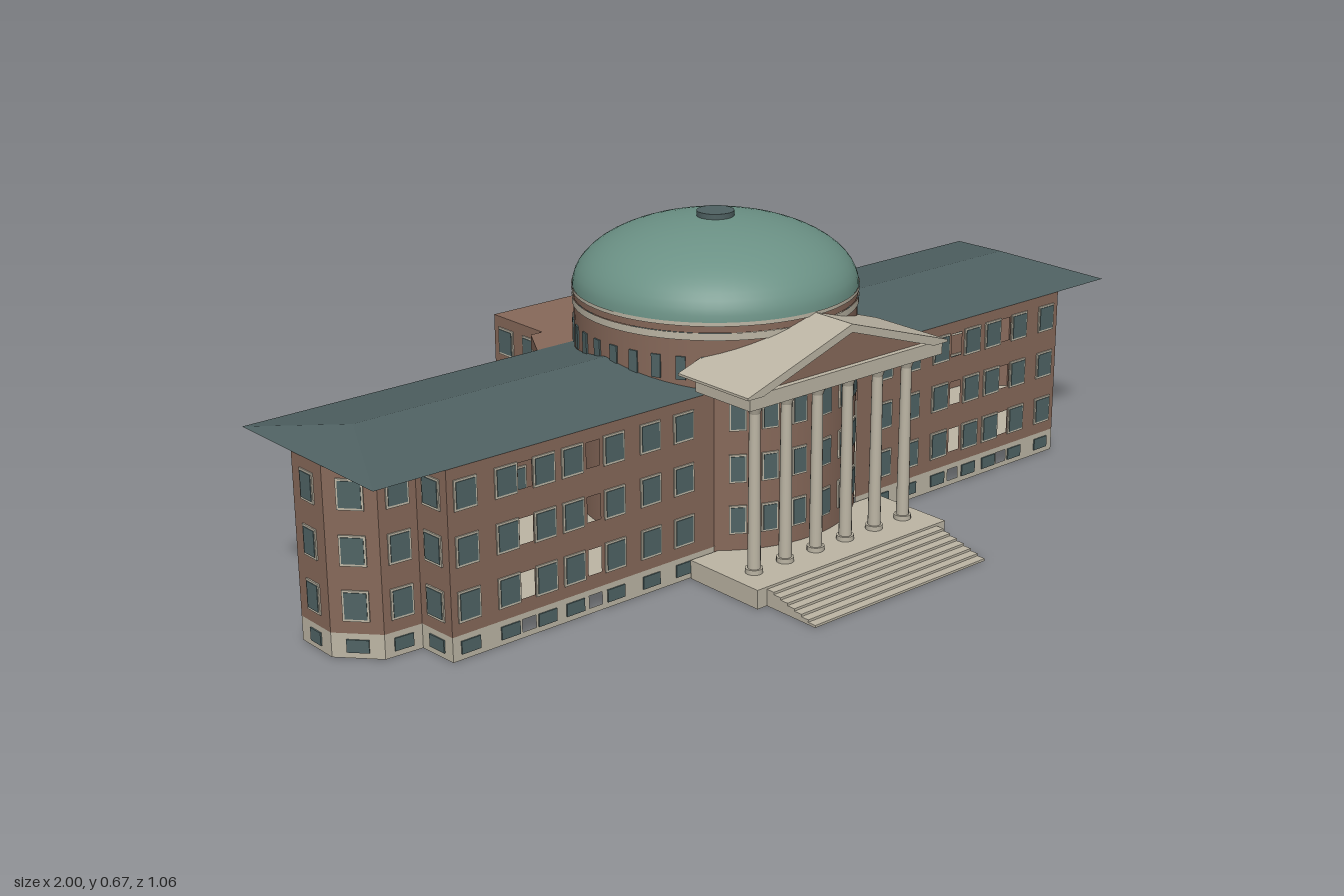
import * as THREE from 'three';
import { mergeGeometries } from 'three/addons/utils/BufferGeometryUtils.js';

const mat = (name, color, side = THREE.FrontSide) => {
  const m = new THREE.MeshStandardMaterial({ color, side });
  m.name = name;
  return m;
};

export function createModel() {
  const brick = mat('brick', 0x87695a, THREE.DoubleSide);
  const stone = mat('stone', 0xbdb6a5, THREE.DoubleSide);
  const copper = mat('copper', 0x6b9185, THREE.DoubleSide);
  const slate = mat('slate', 0x4f6162, THREE.DoubleSide);
  const glass = mat('glass', 0x506465);

  const model = new THREE.Group();
  const house = new THREE.Group();
  house.name = 'building';
  house.rotation.y = -0.025;
  house.position.set(0, 0, -0.035);
  model.add(house);

  const add = (name, geo, material, parent = house) => {
    const m = new THREE.Mesh(geo, material);
    m.name = name;
    parent.add(m);
    return m;
  };
  const box = (x0, x1, y0, y1, z0, z1) =>
    new THREE.BoxGeometry(x1 - x0, y1 - y0, z1 - z0).translate((x0 + x1) / 2, (y0 + y1) / 2, (z0 + z1) / 2);

  const BASE = 0.05, EAVE = 0.38;
  const ROWS = [[0.08, 0.133], [0.19, 0.242], [0.3, 0.352]];
  const BASE_ROW = [0.012, 0.038];

  // Rectangle panel pierced by rectangular openings
  const rect = (P, x0, x1, y0, y1) => {
    const p = new P();
    p.moveTo(x0, y0); p.lineTo(x1, y0); p.lineTo(x1, y1); p.lineTo(x0, y1); p.closePath();
    return p;
  };
  const panel = (len, y0, y1, holes, rows) => {
    const s = rect(THREE.Shape, -len / 2, len / 2, y0, y1);
    for (const h of holes) for (const [a, b] of rows) s.holes.push(rect(THREE.Path, h - 0.016, h + 0.016, a, b));
    return new THREE.ShapeGeometry(s);
  };

  // One straight wall from a to b (outside on the right-hand side), with framed windows
  function wall(name, a, b, cols, w = 0.043, holes = []) {
    const g = new THREE.Group();
    const dx = b[0] - a[0], dz = b[1] - a[1], len = Math.hypot(dx, dz);
    g.name = name;
    g.position.set((a[0] + b[0]) / 2, 0, (a[1] + b[1]) / 2);
    g.rotation.y = Math.atan2(-dz, dx);
    house.add(g);
    add('brickWall', panel(len, BASE, EAVE, holes, ROWS), brick, g);
    add('stoneBase', panel(len, 0, BASE, holes, [BASE_ROW]), stone, g);
    const frames = [], panes = [];
    for (const c of cols) {
      for (const [y0, y1] of ROWS) {
        frames.push(box(c - w / 2 - 0.004, c + w / 2 + 0.004, y0 - 0.005, y1 + 0.004, -0.003, 0.003));
        panes.push(box(c - w / 2, c + w / 2, y0, y1, -0.0045, 0.0045));
      }
      panes.push(box(c - w / 2, c + w / 2, ...BASE_ROW, -0.003, 0.003));
    }
    if (cols.length) {
      add('windowFrames', mergeGeometries(frames), stone, g);
      add('windowPanes', mergeGeometries(panes), glass, g);
    }
  }

  // Walls of the left half, mirrored to the right: [name, from, to, windows, width, openings]
  const longCols = [0.28, 0.365, 0.455, 0.555, 0.622, 0.709, 0.8];
  const gaps = [0.505, 0.665];
  const half = [
    ['frontWall', [0.2, 0.22], [0.84, 0.22], longCols.map(x => x - 0.52), 0.043, gaps.map(x => x - 0.52)],
    ['endShoulder', [0.84, 0.22], [0.845, 0.13], [0]],
    ['bayCheek', [0.845, 0.13], [0.925, 0.125], [0], 0.04],
    ['bayCorner', [0.925, 0.125], [0.993, 0.05], [0]],
    ['bayFront', [0.993, 0.05], [0.993, -0.05], [0], 0.035],
    ['bayCorner', [0.993, -0.05], [0.925, -0.125], [0]],
    ['bayCheek', [0.925, -0.125], [0.845, -0.13], [0], 0.04],
    ['endShoulder', [0.845, -0.13], [0.84, -0.22], [0]],
    ['rearWall', [0.84, -0.22], [0.3, -0.22], longCols.slice(1).map(x => 0.57 - x), 0.043, gaps.map(x => 0.57 - x)],
    ['rearDiagonal', [0.3, -0.22], [0.245, -0.315], [0]],
    ['rearReturn', [0.245, -0.315], [0.215, -0.315], []],
    ['rearWingSide', [0.215, -0.315], [0.215, -0.487], [-0.043, 0.043]],
  ];
  const flip = ([x, z]) => [-x, z];
  for (const [name, a, b, cols, w, holes = []] of half) {
    wall(name, a, b, cols, w, holes);
    wall(name, flip(b), flip(a), cols.map(c => -c), w, holes.map(h => -h));
  }
  wall('rearWingBack', [0.215, -0.487], [-0.215, -0.487], [-0.155, -0.052, 0.052, 0.155]);

  // Floor slab and the flat roof of the rear wing
  const slab = (pts, y) => {
    const outline = [...pts, ...pts.map(flip).reverse()].map(p => new THREE.Vector2(...p));
    return new THREE.ShapeGeometry(new THREE.Shape(outline)).rotateX(Math.PI / 2).translate(0, y, 0);
  };
  const path = [...half.map(h => h[1]), [0.215, -0.487]];
  add('floor', slab(path, BASE), stone);
  add('rearFlatRoof', slab([[0.3, -0.2], ...path.slice(9)], EAVE), brick);

  // Hipped main roof
  const E = 0.994, R = 0.89, D = 0.222, T = 0.42;
  const A = [-E, EAVE, D], B = [E, EAVE, D], C = [E, EAVE, -D], F = [-E, EAVE, -D];
  const L = [-R, T, 0], N = [R, T, 0];
  const roof = new THREE.BufferGeometry();
  roof.setAttribute('position', new THREE.Float32BufferAttribute(
    [A, B, N, A, N, L, C, F, L, C, L, N, B, C, N, F, A, L].flat(), 3));
  roof.computeVertexNormals();
  add('hippedRoof', roof, slate);

  // Rotunda drum with its bands
  const ring = (name, r, y0, y1, material) =>
    add(name, new THREE.CylinderGeometry(r, r, y1 - y0, 64, 1, true).translate(0, (y0 + y1) / 2, 0), material);
  ring('drum', 0.295, 0, 0.485, brick);
  ring('lowerBand', 0.298, 0.485, 0.5, stone);
  ring('drumFrieze', 0.296, 0.5, 0.514, brick);
  ring('upperBand', 0.299, 0.514, 0.522, stone);

  // Drum windows: a full ring on top, three storeys behind the portico
  const around = (angle, w, y0, y1, d) => box(-w / 2, w / 2, y0, y1, 0.295 - d, 0.295 + d).rotateY(angle);
  const drumPanes = [], drumFrames = [];
  for (let i = 0; i < 36; i++) drumPanes.push(around((i + 0.5) * Math.PI / 18, 0.02, 0.402, 0.45, 0.003));
  for (const deg of [-33, -20, -7, 7, 20, 33]) {
    for (const [y0, y1] of ROWS) {
      const a = THREE.MathUtils.degToRad(deg);
      drumFrames.push(around(a, 0.036, y0 - 0.004, y1 + 0.004, 0.003));
      drumPanes.push(around(a, 0.029, y0, y1, 0.0045));
    }
  }
  add('drumWindowPanes', mergeGeometries(drumPanes), glass);
  add('drumWindowFrames', mergeGeometries(drumFrames), stone);

  // Dome and its cap
  const profile = [];
  for (let i = 0; i <= 16; i++) {
    const t = i / 16 * Math.PI / 2;
    profile.push(new THREE.Vector2(Math.max(0.297 * Math.cos(t), 0.0001), 0.52 + 0.142 * Math.sin(t)));
  }
  add('dome', new THREE.LatheGeometry(profile, 64), copper);
  add('domeCap', new THREE.CylinderGeometry(0.039, 0.039, 0.016, 24).translate(0, 0.664, 0), slate);

  // Portico platform and steps
  add('platform', box(-0.265, 0.265, 0, 0.04, 0.223, 0.42), stone);
  const STEPS = 7;
  for (let i = 0; i < STEPS; i++) {
    add('step', box(-0.24, 0.24, 0, 0.035 * (STEPS - i) / STEPS, 0.42 + i * 0.0193, 0.42 + (i + 1) * 0.0193), stone);
  }

  // Columns with base and capital
  for (let i = 0; i < 6; i++) {
    const col = new THREE.Group();
    col.name = 'column';
    col.position.set((i - 2.5) * 0.084, 0, 0.35);
    house.add(col);
    add('shaft', new THREE.CylinderGeometry(0.011, 0.0135, 0.345, 16).translate(0, 0.2175, 0), stone, col);
    add('columnBase', new THREE.CylinderGeometry(0.018, 0.018, 0.01, 16).translate(0, 0.045, 0), stone, col);
    add('capital', new THREE.CylinderGeometry(0.018, 0.011, 0.02, 16).translate(0, 0.382, 0), stone, col);
    add('abacus', box(-0.018, 0.018, 0.39, 0.4, -0.018, 0.018), stone, col);
  }

  // Entablature, gable roof and recessed pediment field
  add('entablature', box(-0.265, 0.265, 0.4, 0.43, 0.24, 0.397), stone);
  const shape = pts => new THREE.Shape(pts.map(p => new THREE.Vector2(...p)));
  const extrude = (pts, z0, z1) =>
    new THREE.ExtrudeGeometry(shape(pts), { depth: z1 - z0, bevelEnabled: false }).translate(0, 0, z0);
  add('gableRoof', extrude([[-0.275, 0.425], [-0.235, 0.425], [0, 0.503], [0.235, 0.425], [0.275, 0.425],
    [0.275, 0.43], [0, 0.52], [-0.275, 0.43]], 0.2, 0.402), stone);
  add('pedimentField', extrude([[-0.24, 0.428], [0.24, 0.428], [0, 0.508]], 0.25, 0.385), brick);

  return model;
}
